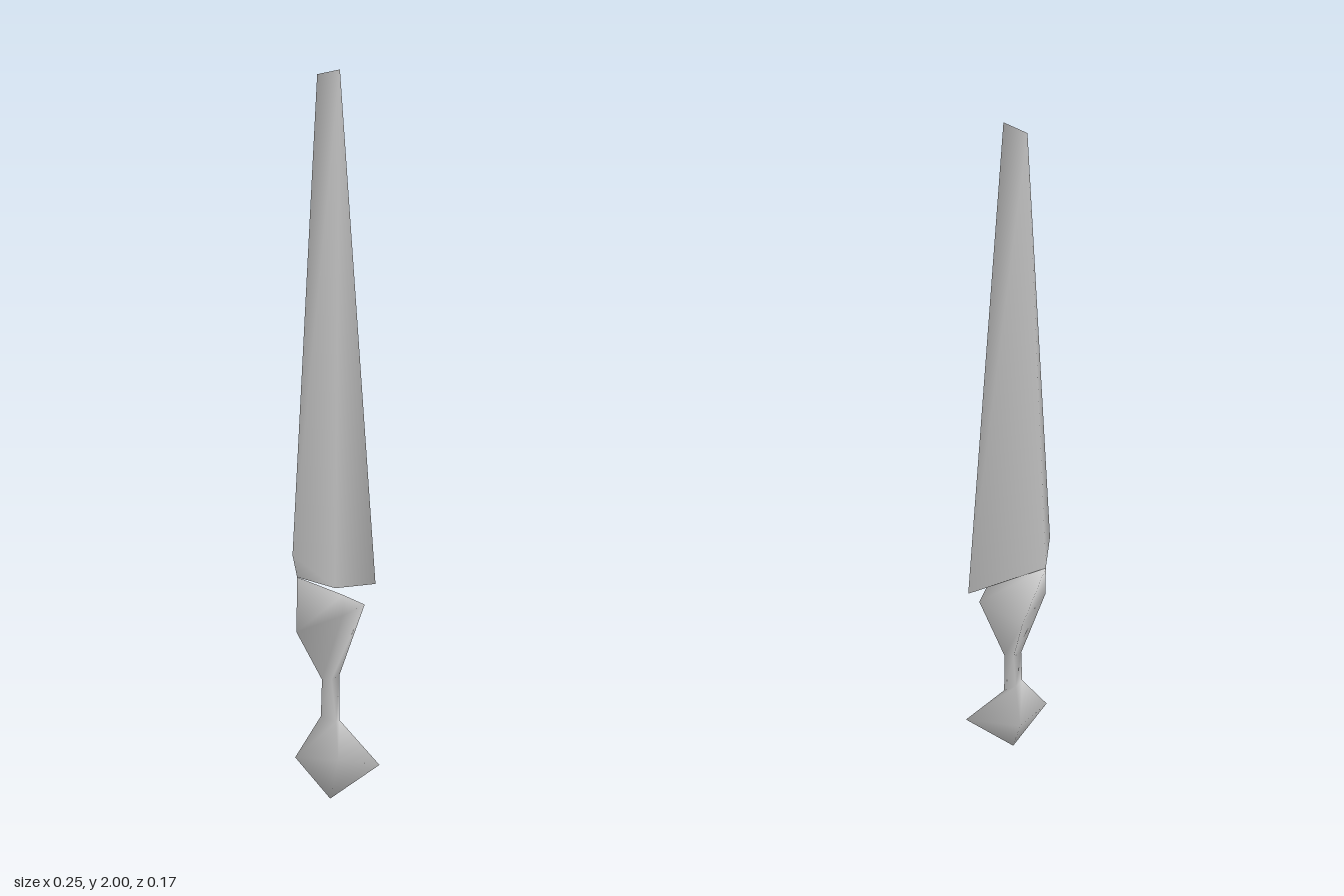
import * as THREE from 'three';
import { mergeVertices } from 'three/addons/utils/BufferGeometryUtils.js';

const material = new THREE.MeshStandardMaterial({ color: 0xcccccc });

// Skins rings of four points, listed from bottom to top and
// counterclockwise seen from above; repeated points close to edges or tips.
function loft(name, rings, capBottom = false) {
  const pos = [];
  const tri = (a, b, c) => {
    if (a !== b && b !== c && c !== a) pos.push(...a, ...b, ...c);
  };
  for (let r = 0; r < rings.length - 1; r++) {
    const lo = rings[r], hi = rings[r + 1];
    for (let i = 0; i < 4; i++) {
      const j = (i + 1) % 4;
      tri(lo[i], lo[j], hi[j]);
      tri(lo[i], hi[j], hi[i]);
    }
  }
  if (capBottom) {
    const b = rings[0];
    tri(b[0], b[2], b[1]);
    tri(b[0], b[3], b[2]);
  }
  let geo = new THREE.BufferGeometry();
  geo.setAttribute('position', new THREE.Float32BufferAttribute(pos, 3));
  geo = mergeVertices(geo);
  geo.computeVertexNormals();
  const mesh = new THREE.Mesh(geo, material);
  mesh.name = name;
  return mesh;
}

export function createModel() {
  const group = new THREE.Group();
  group.name = 'dagger';

  // Blade: slanted four-cornered base tapering to a short chisel edge
  const tipFront = [0.005, 2, 0.015], tipBack = [-0.04, 1.985, -0.03];
  const heel = [-0.1, 0.645, -0.03];
  group.add(loft('blade', [
    [[0, 0.61, -0.005], [0.12, 0.605, -0.015], heel, [-0.125, 0.72, 0.005]],
    [tipFront, tipFront, tipBack, tipBack],
  ], true));

  // Handle: faceted pommel, thin neck and flared guard (left, front, right, back)
  const base = [-0.015, 0, -0.005], guardTip = [-0.01, 0.62, 0.082];
  group.add(loft('handle', [
    [base, base, base, base],
    [[-0.115, 0.135, -0.01], [0, 0.12, 0.018], [0.112, 0.1, 0.042], [-0.01, 0.135, -0.075]],
    [[-0.04, 0.245, -0.01], [0, 0.225, 0], [0.015, 0.225, -0.012], [-0.015, 0.24, -0.025]],
    [[-0.036, 0.35, -0.012], [-0.01, 0.35, -0.006], [0.015, 0.355, -0.014], [-0.01, 0.35, -0.022]],
    [[-0.122, 0.51, 0.025], [0.01, 0.54, 0.025], [0.083, 0.555, 0], [-0.012, 0.51, -0.084]],
    [heel, guardTip, guardTip, heel],
  ]));

  return group;
}
